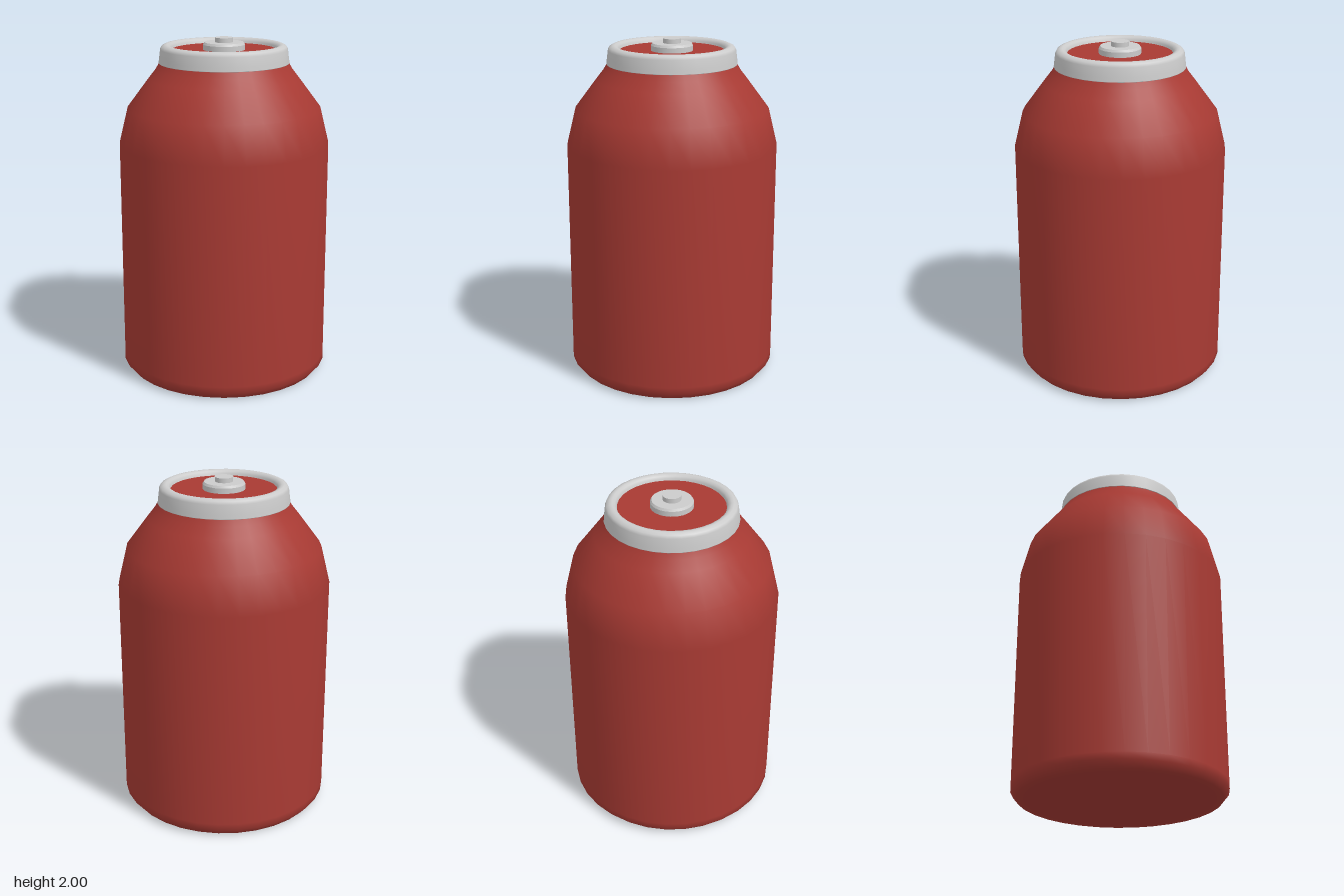
import * as THREE from 'three';

const SIDES = 32;
const red = new THREE.MeshStandardMaterial({ color: 0xa83a33 });
const grey = new THREE.MeshStandardMaterial({ color: 0xcccccc });

// Turned part from [radius, height] pairs, listed so that faces point outward
function turned(name, points, material) {
  const profile = points.map(([r, y]) => new THREE.Vector2(r, y));
  const mesh = new THREE.Mesh(new THREE.LatheGeometry(profile, SIDES), material);
  mesh.name = name;
  return mesh;
}

// Upright cylinder between two heights
function disc(name, radiusTop, radiusBottom, y0, y1, material) {
  const mesh = new THREE.Mesh(
    new THREE.CylinderGeometry(radiusTop, radiusBottom, y1 - y0, SIDES), material);
  mesh.position.y = (y0 + y1) / 2;
  mesh.name = name;
  return mesh;
}

export function createModel() {
  const group = new THREE.Group();
  group.name = 'sprayCan';

  // Body: flat base, chamfer, straight wall and rounded shoulder
  group.add(turned('body', [
    [0, 0], [0.54, 0], [0.587, 0], [0.62, 0.04], [0.62, 0.08], [0.62, 1.38],
    [0.567, 1.595], [0.44, 1.765], [0.397, 1.82], [0.375, 1.86],
  ], red));

  // Rim: slightly tapered collar with a rolled top edge and an inner wall
  group.add(turned('rim', [
    [0.36, 1.855], [0.381, 1.855], [0.381, 1.857], [0.378, 1.88], [0.371, 1.935],
    [0.363, 1.951], [0.345, 1.96], [0.33, 1.96], [0.315, 1.953], [0.308, 1.94],
    [0.302, 1.92],
  ], grey));

  // Recessed lid inside the rim
  group.add(disc('lid', 0.31, 0.31, 1.89, 1.93, red));

  // Valve: cup with a small bevel, then the stem
  group.add(disc('valveCup', 0.122, 0.122, 1.92, 1.96, grey));
  group.add(disc('valveCupBevel', 0.114, 0.122, 1.96, 1.973, grey));
  group.add(disc('valveStem', 0.052, 0.052, 1.965, 2, grey));

  return group;
}
